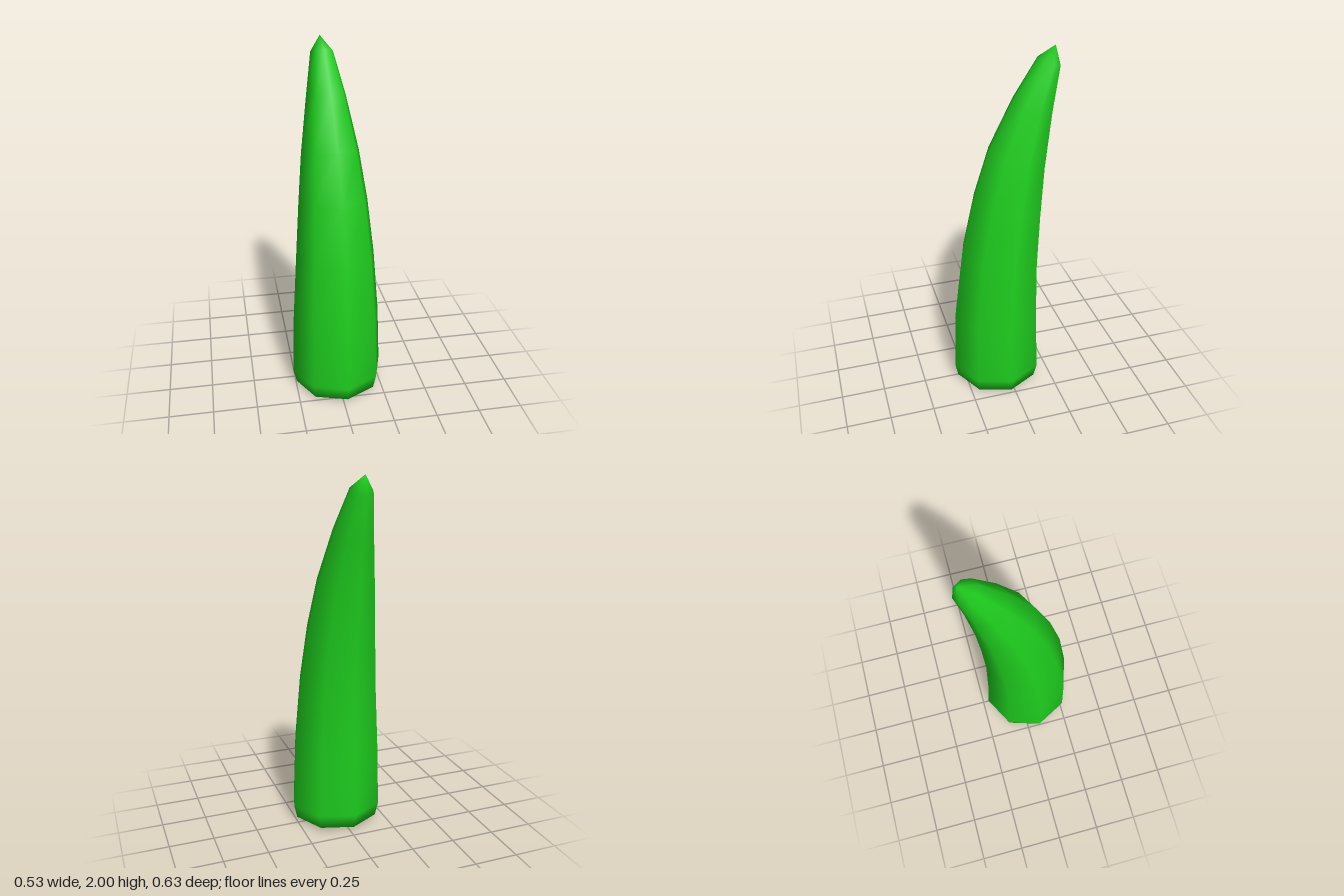
import * as THREE from 'three';

const SIDES = 8;
const TWIST = -0.094;

// Cross-sections from base to tip: [centre x, y, z, radius, forward tilt]
const RINGS = [
  [0, 0.004, 0.05, 0.17, 0],
  [0, 0.02, 0.05, 0.249, 0],
  [0, 0.1, 0.048, 0.267, 0],
  [-0.003, 0.45, 0.048, 0.255, 0.02],
  [-0.004, 0.825, 0.024, 0.228, 0.11],
  [-0.008, 1.14, -0.02, 0.198, 0.2],
  [-0.015, 1.415, -0.075, 0.163, 0.25],
  [-0.022, 1.70, -0.163, 0.111, 0.29],
  [-0.03, 1.92, -0.25, 0.063, 0.33],
];

function hornGeometry() {
  const pos = [];
  const index = [];
  for (const [cx, cy, cz, r, tilt] of RINGS) {
    for (let i = 0; i < SIDES; i++) {
      const a = TWIST + (i / SIDES) * Math.PI * 2;
      const dz = r * Math.sin(a);
      pos.push(cx + r * Math.cos(a), cy + dz * tilt, cz + dz);
    }
  }
  const base = RINGS.length * SIDES;
  const tip = base + 1;
  pos.push(0, 0, 0.05, -0.035, 2, -0.285);

  // Skin between neighbouring rings
  for (let j = 0; j < RINGS.length - 1; j++) {
    for (let i = 0; i < SIDES; i++) {
      const k = (i + 1) % SIDES;
      const a = j * SIDES + i, b = j * SIDES + k;
      index.push(a, a + SIDES, b, b, a + SIDES, b + SIDES);
    }
  }
  // Close the base and the point
  const last = (RINGS.length - 1) * SIDES;
  for (let i = 0; i < SIDES; i++) {
    const k = (i + 1) % SIDES;
    index.push(base, i, k, last + i, tip, last + k);
  }

  const geo = new THREE.BufferGeometry();
  geo.setAttribute('position', new THREE.Float32BufferAttribute(pos, 3));
  geo.setIndex(index);
  geo.computeVertexNormals();
  return geo;
}

export function createModel() {
  const group = new THREE.Group();
  group.name = 'curvedHorn';
  const horn = new THREE.Mesh(
    hornGeometry(),
    new THREE.MeshStandardMaterial({ color: 0x1ecc1e })
  );
  horn.name = 'horn';
  group.add(horn);
  return group;
}
